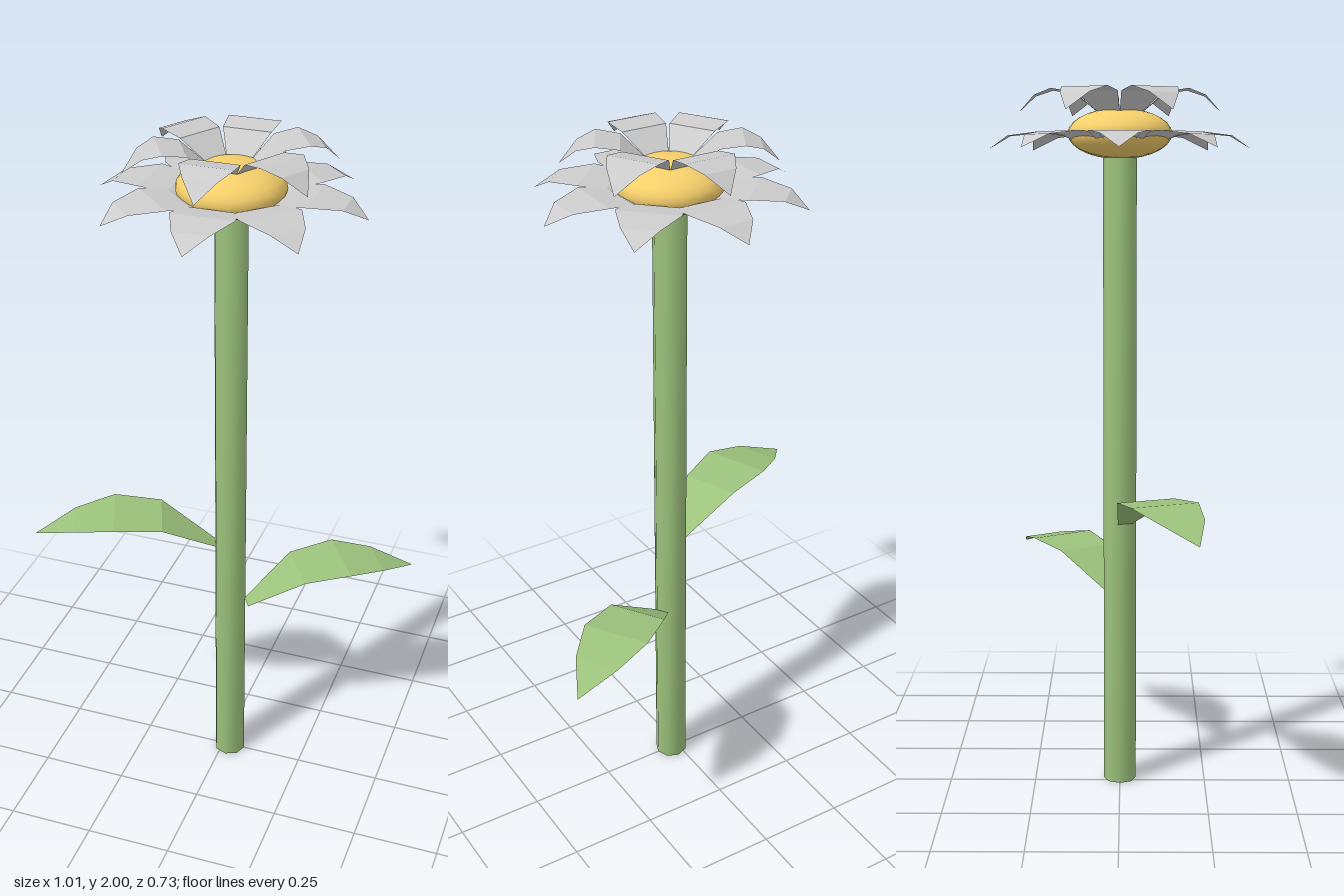
import * as THREE from 'three';
import { mergeVertices } from 'three/addons/utils/BufferGeometryUtils.js';

const CX = 0.022; // stem axis

// A flat-across blade along +x, from stations of [distance, height, half width]
function bladeGeometry(stations) {
  const pos = [], index = [];
  stations.forEach(([d, h, w], i) => {
    pos.push(d, h, -w, d, h, w);
    if (i === 0) return;
    const a = 2 * (i - 1);
    index.push(a, a + 1, a + 2);
    if (w > 0) index.push(a + 1, a + 3, a + 2);
  });
  const geo = new THREE.BufferGeometry();
  geo.setAttribute('position', new THREE.Float32BufferAttribute(pos, 3));
  geo.setIndex(index);
  geo.computeVertexNormals();
  return geo;
}

// Evenly spaced ring of petals round the flower centre
function petalRing(name, count, startAngle, stations, material) {
  const ring = new THREE.Group();
  ring.name = name;
  const geo = bladeGeometry(stations);
  for (let i = 0; i < count; i++) {
    const petal = new THREE.Mesh(geo, material);
    petal.name = 'petal';
    petal.rotation.y = startAngle + (i / count) * Math.PI * 2;
    ring.add(petal);
  }
  ring.position.x = CX;
  return ring;
}

export function createModel() {
  const model = new THREE.Group();
  model.name = 'flower';

  const green = new THREE.MeshStandardMaterial({ color: 0x9cc27c });
  const leafGreen = new THREE.MeshStandardMaterial({ color: 0x9cc27c, flatShading: true, side: THREE.DoubleSide });
  const yellow = new THREE.MeshStandardMaterial({ color: 0xf5cf6a });
  const grey = new THREE.MeshStandardMaterial({ color: 0xcccccc, flatShading: true, side: THREE.DoubleSide });

  // Stem: eight sides, with normals smoothed over the end caps
  let stemGeo = new THREE.CylinderGeometry(0.047, 0.047, 1.85, 8);
  stemGeo.deleteAttribute('uv');
  stemGeo.deleteAttribute('normal');
  stemGeo = mergeVertices(stemGeo);
  stemGeo.computeVertexNormals();
  const stem = new THREE.Mesh(stemGeo, green);
  stem.name = 'stem';
  stem.position.set(CX, 0.925, 0);
  model.add(stem);

  // Flower centre: flattened sphere
  const centre = new THREE.Mesh(new THREE.SphereGeometry(0.145, 24, 14), yellow);
  centre.name = 'flowerCentre';
  centre.scale.y = 0.48;
  centre.position.set(CX, 1.88, 0);
  model.add(centre);

  // Eight wide lower petals and six smaller raised ones
  model.add(petalRing('lowerPetals', 8, 0, [
    [0.072, 1.84, 0.04], [0.15, 1.875, 0.075], [0.222, 1.884, 0.085], [0.308, 1.874, 0.049], [0.364, 1.838, 0],
  ], grey));
  model.add(petalRing('upperPetals', 6, Math.PI / 6, [
    [0.057, 1.935, 0.033], [0.124, 1.99, 0.066], [0.188, 2.0, 0.0725], [0.235, 1.983, 0.046], [0.281, 1.936, 0],
  ], grey));

  // Two arched leaves on opposite sides of the stem
  const leafGeo = bladeGeometry([
    [0, 0, 0.022], [0.157, 0.1, 0.085], [0.293, 0.114, 0.099], [0.408, 0.092, 0.066], [0.523, 0.05, 0],
  ]);
  const leaves = [
    ['lowerLeaf', 0.066, 0.56, -0.02, 0.576],
    ['upperLeaf', -0.017, 0.78, 0.015, Math.PI + 0.379],
  ];
  for (const [name, x, y, z, angle] of leaves) {
    const leaf = new THREE.Mesh(leafGeo, leafGreen);
    leaf.name = name;
    leaf.position.set(x, y, z);
    leaf.rotation.y = angle;
    model.add(leaf);
  }
  return model;
}
